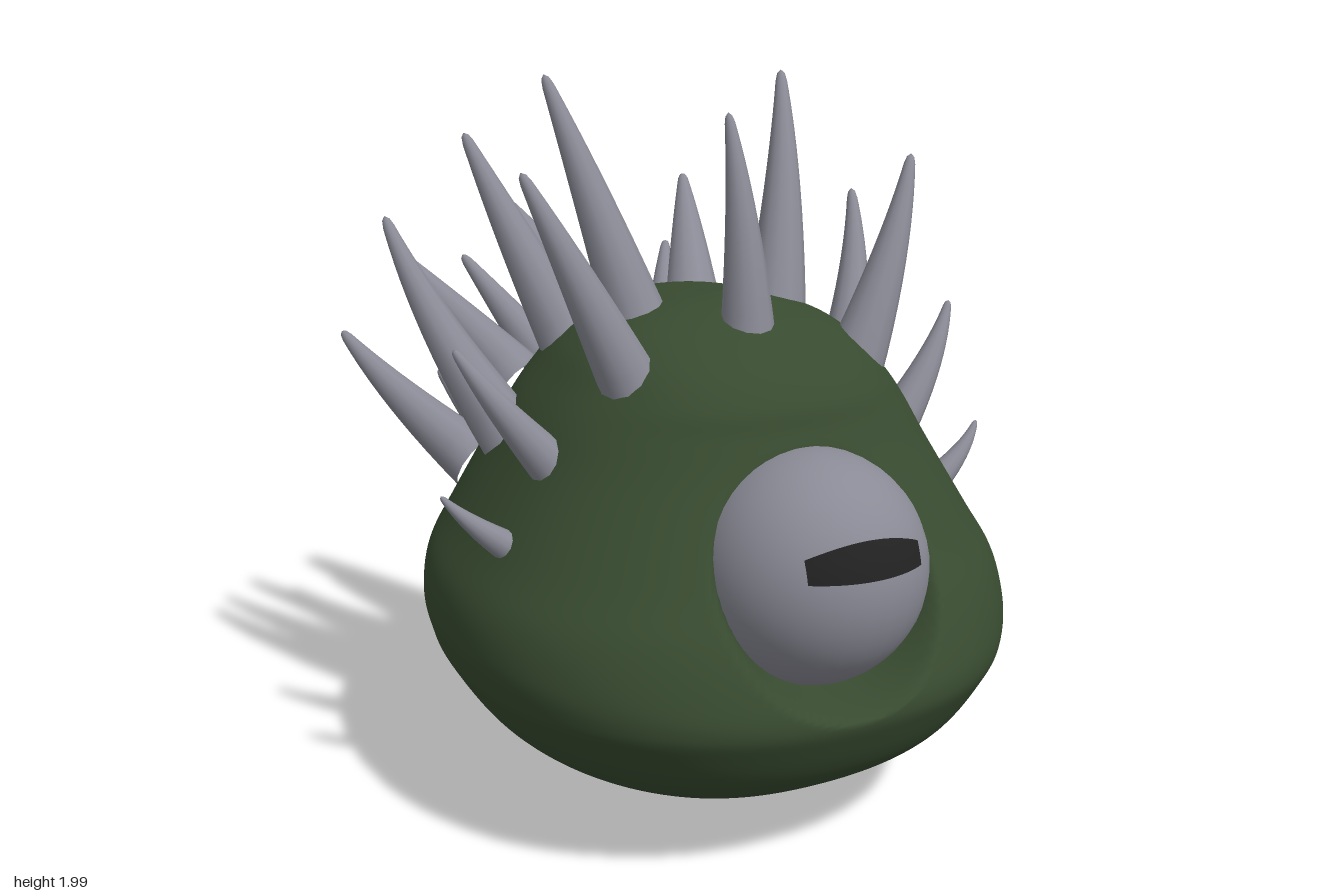
import * as THREE from 'three';
import { mergeVertices } from 'three/addons/utils/BufferGeometryUtils.js';

const material = (color) => new THREE.MeshStandardMaterial({ color });
const green = material(0x384b30), grey = material(0x8a8a96), black = material(0x222222);
const EYE = new THREE.Vector3(0.005, 0.793, 0.693), EYE_R = 0.306;
const MID_Z = 0.15;

// Horizontal body sections: height, half width, front z, back z
const SECTIONS = [
  [0, 0, MID_Z, MID_Z], [0.035, 0.18, 0.38, -0.05], [0.1, 0.37, 0.57, -0.28], [0.18, 0.54, 0.73, -0.42],
  [0.29, 0.68, 0.88, -0.54], [0.42, 0.77, 0.96, -0.63], [0.49, 0.797, 0.98, -0.665], [0.57, 0.81, 0.955, -0.685],
  [0.68, 0.79, 0.9, -0.685], [0.8, 0.72, 0.825, -0.65], [1.0, 0.6, 0.71, -0.56], [1.12, 0.53, 0.655, -0.49],
  [1.2, 0.47, 0.625, -0.44], [1.28, 0.4, 0.55, -0.38], [1.35, 0.3, 0.42, -0.28], [1.395, 0.15, 0.27, -0.1],
  [1.41, 0, MID_Z, MID_Z],
];

// Spikes on the left half: base, tip, base radius
const SPIKES = [
  [[0.22, 1.35, 0.14], [0.37, 1.99, -0.14], 0.09],
  [[0.35, 1.24, 0.38], [0.58, 1.77, 0.24], 0.085],
  [[0.34, 1.27, -0.1], [0.52, 1.82, -0.4], 0.09],
  [[0.57, 1.04, -0.05], [0.77, 1.6, -0.37], 0.09],
  [[0.19, 1.3, -0.36], [0.34, 1.63, -0.74], 0.09],
  [[0.42, 1.12, -0.36], [0.64, 1.44, -0.75], 0.09],
  [[0.57, 0.87, -0.37], [0.81, 1.19, -0.81], 0.09],
  [[0.17, 1.0, -0.53], [0.37, 1.38, -0.94], 0.09],
  [[0.3, 0.72, -0.59], [0.45, 0.99, -1.0], 0.085],
  [[0.56, 1.03, 0.31], [0.76, 1.33, 0.2], 0.065],
  [[0.69, 0.82, 0.33], [0.83, 0.97, 0.27], 0.045],
];

// Joins the seam and gives smooth normals
function smooth(geo) {
  geo.deleteAttribute('uv');
  geo.deleteAttribute('normal');
  const merged = mergeVertices(geo, 1e-5);
  merged.computeVertexNormals();
  return merged;
}

function bodyGeometry() {
  const curve = (f) => new THREE.CatmullRomCurve3(SECTIONS.map(f), false, 'catmullrom', 0.5);
  const heights = curve((s) => new THREE.Vector3(s[0], 0, 0));
  const spans = curve((s) => new THREE.Vector3(s[1], s[2], s[3]));
  const geo = new THREE.CylinderGeometry(1, 1, 1, 240, 120, true, Math.PI);
  const pos = geo.attributes.position, uv = geo.attributes.uv;
  // Slightly squared ellipse
  const squared = (c) => Math.sign(c) * Math.pow(Math.abs(c), 2 / 2.2);
  for (let i = 0; i < pos.count; i++) {
    const t = uv.getY(i), span = spans.getPoint(t), y = heights.getPoint(t).x;
    const cz = squared(pos.getZ(i));
    const x = squared(pos.getX(i)) * Math.max(span.x, 0);
    let z = MID_Z + Math.abs(cz) * (cz > 0 ? span.y - MID_Z : span.z - MID_Z);
    // Socket hollowed behind the eye
    if (z > 0.6) {
      const k = THREE.MathUtils.smoothstep(Math.hypot(x - EYE.x, y - EYE.y), 0.24, 0.318);
      z = THREE.MathUtils.lerp(Math.min(z, 0.66), z, k);
    }
    pos.setXYZ(i, x, Math.max(y, 0), z);
  }
  return smooth(geo);
}

// Tapered horn bent along a curve, with a small rounded tip and a sunken root
function spikeGeometry(base, tip, radius) {
  const a = new THREE.Vector3(...base), b = new THREE.Vector3(...tip);
  const outward = a.clone().sub(new THREE.Vector3(0, 0.6, 0.1)).normalize();
  const mid = a.clone().lerp(b, 0.45).addScaledVector(outward, 0.1 * a.distanceTo(b));
  const start = a.clone().addScaledVector(outward, -0.05);
  const path = new THREE.QuadraticBezierCurve3(start, mid, b);
  const geo = new THREE.CylinderGeometry(1, 1, 1, 12, 14, true);
  const pos = geo.attributes.position, uv = geo.attributes.uv;
  const side = new THREE.Vector3(), up = new THREE.Vector3(), p = new THREE.Vector3();
  for (let i = 0; i < pos.count; i++) {
    const t = 1 - Math.pow(1 - uv.getY(i), 1.5);
    const tangent = path.getTangent(t);
    side.set(1, 0, 0).addScaledVector(tangent, -tangent.x).normalize();
    up.crossVectors(side, tangent);
    const r = radius * (1 - 0.86 * t) * Math.sqrt(Math.min(1, (1 - t) / 0.03));
    path.getPoint(t, p);
    p.addScaledVector(side, pos.getX(i) * r).addScaledVector(up, pos.getZ(i) * r);
    pos.setXYZ(i, p.x, p.y, p.z);
  }
  return smooth(geo);
}

// Slit pupil wrapped onto the front of the eye
function pupilGeometry() {
  const geo = new THREE.PlaneGeometry(0.32, 1, 16, 4);
  const pos = geo.attributes.position;
  for (let i = 0; i < pos.count; i++) {
    const x = pos.getX(i), v = pos.getY(i) + 0.5;
    const top = 0.152 - 0.035 * (x / 0.16) ** 2;
    const y = THREE.MathUtils.lerp(0.06, top, v);
    pos.setXYZ(i, x + 0.005, y, Math.sqrt((EYE_R + 0.004) ** 2 - x * x - y * y));
  }
  geo.computeVertexNormals();
  return geo;
}

export function createModel() {
  const model = new THREE.Group();
  const add = (name, geo, mat, parent = model) => {
    const mesh = new THREE.Mesh(geo, mat);
    mesh.name = name;
    parent.add(mesh);
    return mesh;
  };

  add('body', bodyGeometry(), green);
  add('eye', new THREE.SphereGeometry(EYE_R, 32, 24), grey).position.copy(EYE);
  add('pupil', pupilGeometry(), black).position.copy(EYE);

  // Centre spike and the mirrored pairs
  const spikes = new THREE.Group();
  spikes.name = 'spikes';
  model.add(spikes);
  add('centreSpike', spikeGeometry([0, 1.36, 0.38], [0, 1.9, 0.24], 0.075), grey, spikes);
  const flip = ([x, y, z]) => [-x, y, z];
  for (const [base, tip, r] of SPIKES) {
    add('leftSpike', spikeGeometry(base, tip, r), grey, spikes);
    add('rightSpike', spikeGeometry(flip(base), flip(tip), r), grey, spikes);
  }
  return model;
}
